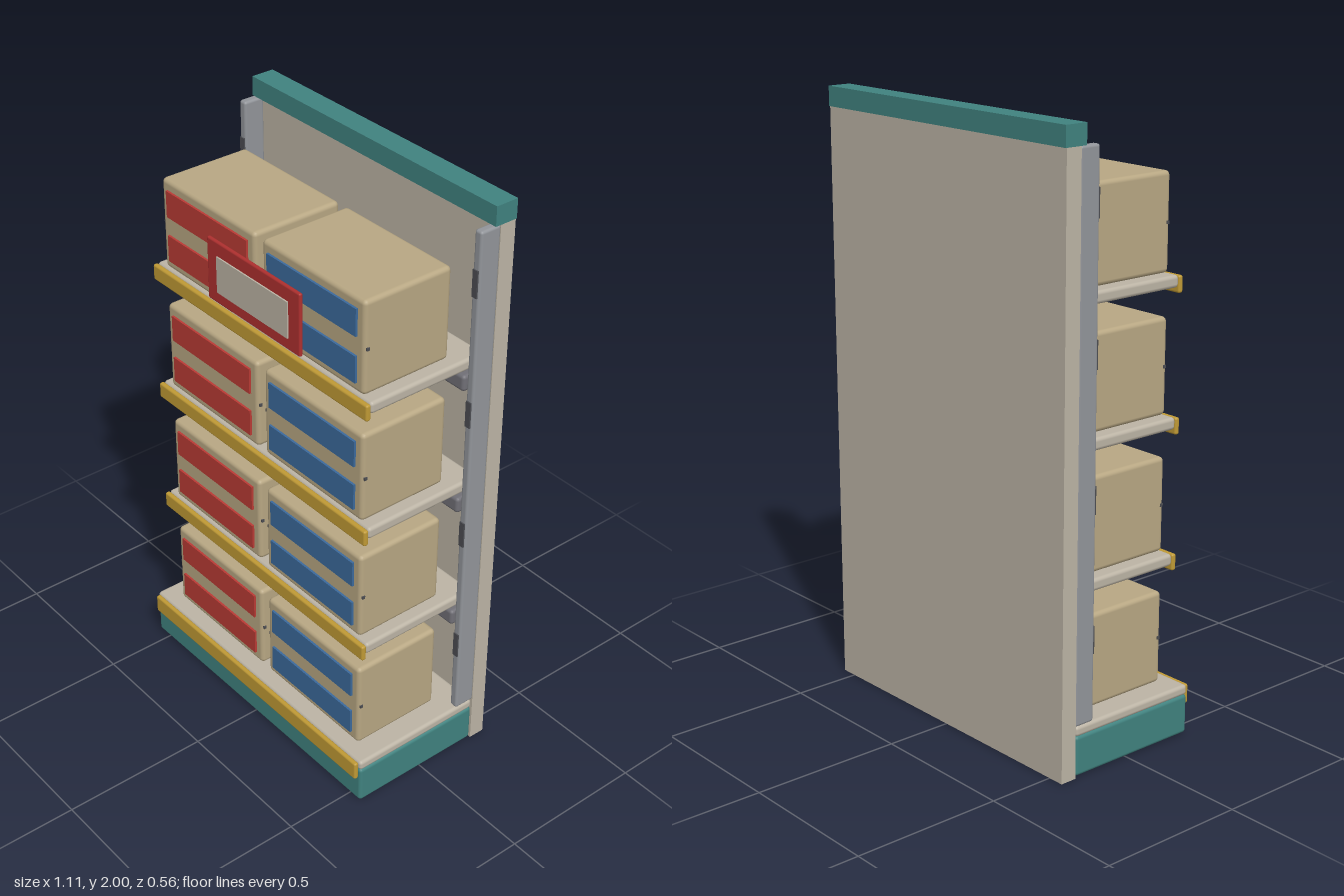
import * as THREE from 'three';
import { RoundedBoxGeometry } from 'three/addons/geometries/RoundedBoxGeometry.js';

const mat = (name, color) => {
  const m = new THREE.MeshStandardMaterial({ color });
  m.name = name;
  return m;
};

export function createModel() {
  const cream = mat('cream panel', 0xbcb4a5);
  const teal = mat('teal', 0x40827f);
  const steel = mat('steel grey', 0x92959a);
  const railGrey = mat('rail grey', 0x706f76);
  const dark = mat('dark slot', 0x4c4d52);
  const gold = mat('gold edge', 0xc09a35);
  const card = mat('cardboard', 0xb8a783);
  const red = mat('red label', 0xba3b35);
  const blue = mat('blue label', 0x3c6a9c);
  const signRed = mat('sign red', 0xae302f);

  const root = new THREE.Group();
  root.name = 'shelfDisplay';

  // Block given by its extents; r > 0 rounds the edges
  const block = (parent, name, m, [x0, x1], [y0, y1], [z0, z1], r = 0) => {
    const size = [x1 - x0, y1 - y0, z1 - z0];
    const geo = r ? new RoundedBoxGeometry(...size, 2, r) : new THREE.BoxGeometry(...size);
    const mesh = new THREE.Mesh(geo, m);
    mesh.position.set((x0 + x1) / 2, (y0 + y1) / 2, (z0 + z1) / 2);
    mesh.name = name;
    parent.add(mesh);
    return mesh;
  };
  const wide = (h) => [-h, h];

  // Back panel, header and base
  block(root, 'backPanel', cream, wide(0.555), [0, 1.936], [-0.276, -0.22]);
  block(root, 'header', teal, wide(0.555), [1.936, 2], [-0.28, -0.2]);
  block(root, 'base', teal, wide(0.555), [0.004, 0.137], [-0.218, 0.261], 0.012);
  block(root, 'baseDeck', cream, wide(0.555), [0.135, 0.17], [-0.218, 0.261], 0.012);
  block(root, 'baseEdge', gold, wide(0.545), [0.099, 0.165], [0.259, 0.276], 0.007);

  // Uprights with dark slots
  for (const s of [-1, 1]) {
    const post = new THREE.Group();
    post.name = s > 0 ? 'leftUpright' : 'rightUpright';
    root.add(post);
    const x = s * 0.54;
    block(post, 'post', steel, [x - 0.015, x + 0.015], [0.17, 1.936], [-0.222, -0.147], 0.009);
    for (let i = 0; i < 4; i++) {
      const y = 0.435 + i * 0.444;
      block(post, 'slot', dark, [x - 0.01, x + 0.01], [y - 0.045, y + 0.045], [-0.151, -0.143]);
    }
  }

  // Three upper shelves, each with a front edge and a rear support rail
  const levels = [0.17, 0.614, 1.058, 1.502];
  for (const y of levels.slice(1)) {
    const shelf = new THREE.Group();
    shelf.name = 'shelf';
    root.add(shelf);
    block(shelf, 'board', cream, wide(0.52), [y - 0.04, y], [-0.22, 0.215], 0.012);
    block(shelf, 'frontEdge', gold, wide(0.52), [y - 0.058, y - 0.003], [0.214, 0.232], 0.007);
    block(shelf, 'supportRail', railGrey, wide(0.52), [y - 0.112, y - 0.056], [-0.22, -0.14], 0.012);
  }

  // Two cartons per level: red labels on the right, blue on the left
  for (const y of levels) {
    for (const s of [-1, 1]) {
      const carton = new THREE.Group();
      carton.name = 'carton';
      root.add(carton);
      const x = s * 0.249;
      block(carton, 'cartonBody', card, [x - 0.232, x + 0.232], [y, y + 0.31], [-0.112, 0.21], 0.015);
      block(carton, 'sideTab', dark, [x - 0.235, x + 0.235], [y + 0.15, y + 0.16], [0.193, 0.203]);
      for (const ly of [0.033, 0.187]) {
        block(carton, 'label', s < 0 ? red : blue,
          [x - 0.201, x + 0.201], [y + ly, y + ly + 0.09], [0.209, 0.2175]);
      }
    }
  }

  // Price sign on the top shelf
  const sign = new THREE.Group();
  sign.name = 'sign';
  root.add(sign);
  block(sign, 'signFrame', signRed, wide(0.222), [1.515, 1.727], [0.22, 0.234], 0.006);
  block(sign, 'signFace', cream, wide(0.17), [1.557, 1.68], [0.232, 0.239]);

  return root;
}
